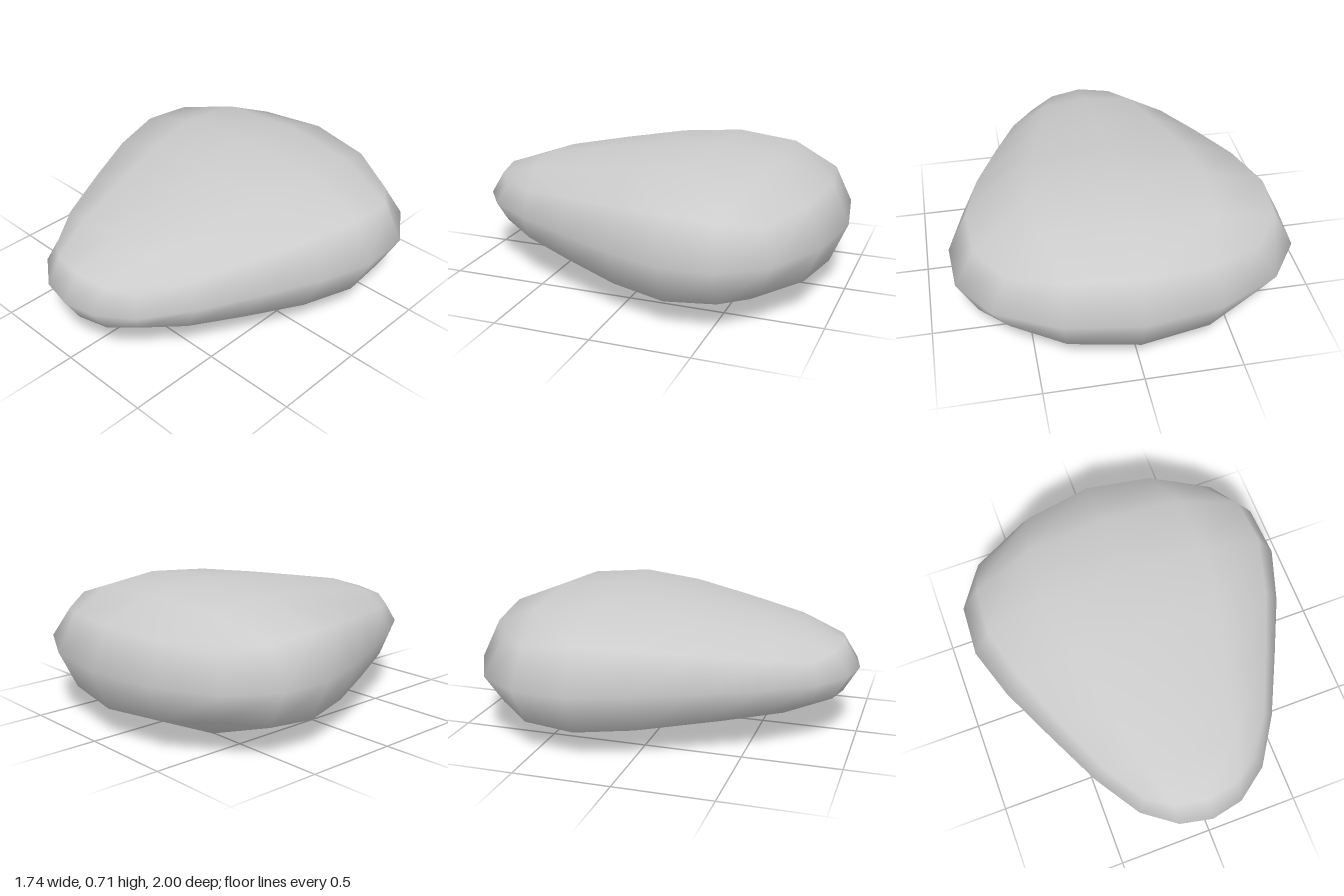
import * as THREE from 'three';
import { mergeVertices } from 'three/addons/utils/BufferGeometryUtils.js';

// Stations from back to front: spine z, flank z, top-edge z, half width, half height
const STATIONS = [
  [-0.91, -0.78, -0.72, 0.70, 0.21],
  [-0.64, -0.555, -0.54, 0.855, 0.32],
  [-0.30, -0.28, -0.28, 0.87, 0.355],
  [0.03, 0.0, 0.01, 0.78, 0.33],
  [0.36, 0.30, 0.31, 0.64, 0.275],
  [0.68, 0.60, 0.60, 0.495, 0.215],
  [0.92, 0.84, 0.80, 0.34, 0.135],
];
const MID = 0.355;

// Maps a grid point of a box (each axis -1..1) onto the pebble
function pebblePoint(p) {
  const k = Math.round((p.z + 1) * 3);
  const step = Math.round(Math.abs(p.x) * 2); // 0 spine, 1 quarter, 2 flank
  const side = Math.sign(p.x);
  const end = k === 0 || k === 6;
  const [spineZ, flankZ, edgeZ, w, h] = STATIONS[k];

  if (Math.abs(p.y) < 0.01) {
    // Equator: flanks, then the rounded nose and tail
    const noseZ = k === 0 ? [-1, -0.94] : [1, 0.965];
    const noseX = k === 0 ? 0.39 : 0.17;
    if (step === 2) return p.set(side * w, MID, flankZ);
    return p.set(side * step * noseX, MID, noseZ[step]);
  }
  // Upper and lower skins
  const rise = [1, 0.915, end ? 0.74 : 0.606][step];
  return p.set(
    side * w * [0, 0.505, 0.88][step],
    MID + Math.sign(p.y) * h * rise,
    THREE.MathUtils.lerp(spineZ, edgeZ, [0, 0.28, 1][step]),
  );
}

export function createModel() {
  const group = new THREE.Group();
  group.name = 'pebble';

  // Box grid welded into one skin so the normals are smooth all round
  const box = new THREE.BoxGeometry(2, 2, 2, 4, 2, 6);
  box.deleteAttribute('uv');
  box.deleteAttribute('normal');
  const geometry = mergeVertices(box);
  const pos = geometry.attributes.position;
  const p = new THREE.Vector3();
  for (let i = 0; i < pos.count; i++) {
    pebblePoint(p.fromBufferAttribute(pos, i));
    pos.setXYZ(i, p.x, p.y, p.z);
  }
  geometry.computeVertexNormals();

  const stone = new THREE.Mesh(geometry, new THREE.MeshStandardMaterial({ color: 0xcccccc }));
  stone.name = 'stone';
  group.add(stone);
  return group;
}
